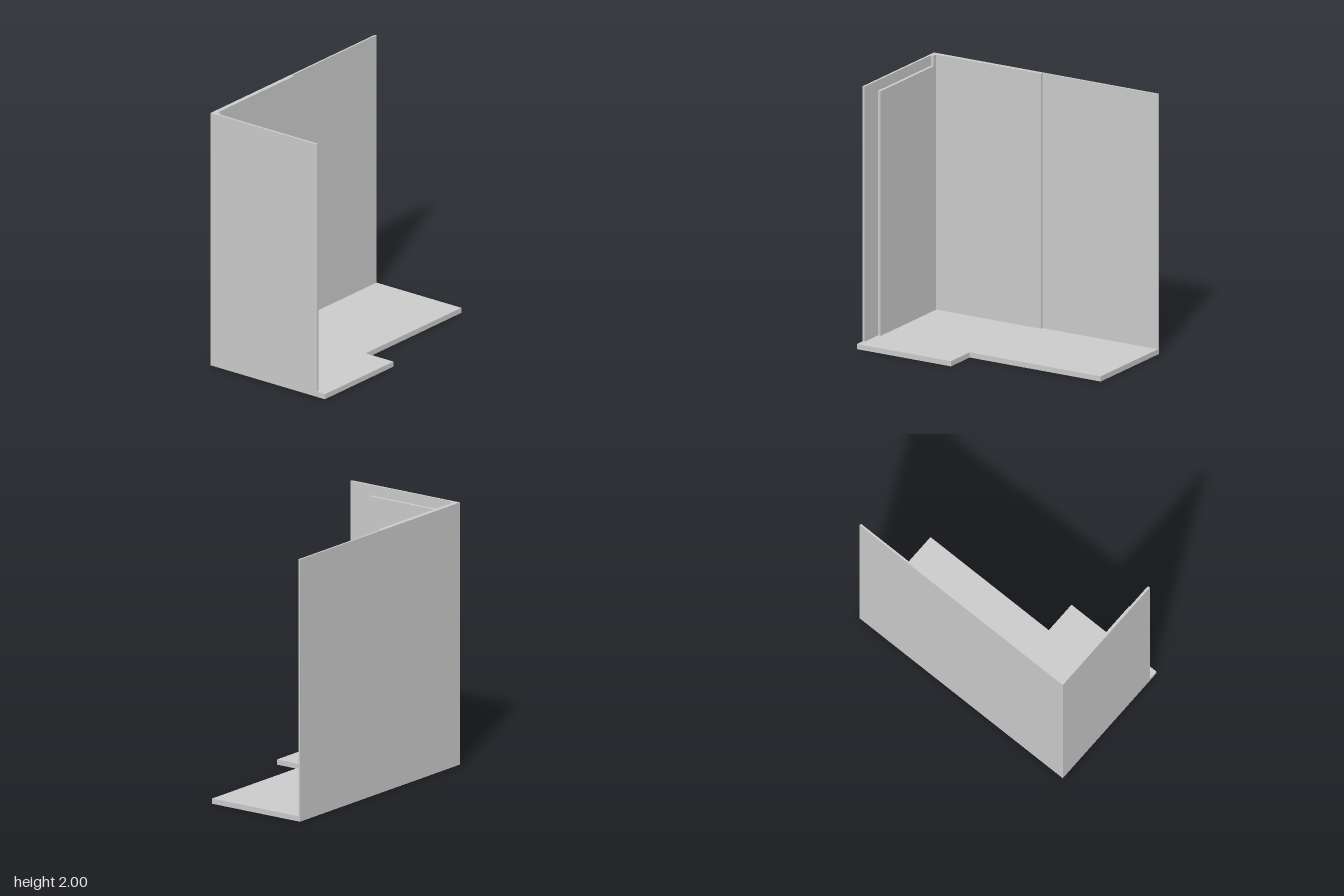
import * as THREE from 'three';

const material = new THREE.MeshStandardMaterial({ color: 0xcccccc, flatShading: true });

// Extrudes a plan outline of [x, z] points from height y0 to y1
function slab(name, plan, y0, y1) {
  const shape = new THREE.Shape(plan.map(([x, z]) => new THREE.Vector2(x, -z)));
  const geometry = new THREE.ExtrudeGeometry(shape, { depth: y1 - y0, bevelEnabled: false });
  geometry.rotateX(-Math.PI / 2).translate(0, y0, 0);
  const mesh = new THREE.Mesh(geometry, material);
  mesh.name = name;
  return mesh;
}

const rect = (x0, x1, z0, z1) => [[x0, z0], [x0, z1], [x1, z1], [x1, z0]];

export function createModel() {
  const group = new THREE.Group();
  group.name = 'roomCorner';
  const L = -0.535, Z = 0.973, floorTop = 0.04, top = 2;

  group.add(
    // L-shaped floor with a wider front part
    slab('floor', [[L, -Z], [L, Z], [0.535, Z], [0.535, 0.16], [0.275, 0.16], [0.275, -Z]], 0, floorTop),

    // Side and front walls as one plan: the side wall steps thicker towards
    // the front and ends in a small corner post
    slab('walls', [
      [L, -Z], [L, Z], [0.46, Z], [0.46, 0.955], [-0.464, 0.955], [-0.464, 0.932],
      [-0.5, 0.932], [-0.5, 0.026], [-0.52, 0.026], [-0.52, -Z],
    ], floorTop, top),

    // Raised panel on the inside of the front wall
    slab('innerPanel', rect(-0.464, 0.275, 0.932, 0.955), floorTop, 1.92),
  );
  return group;
}
